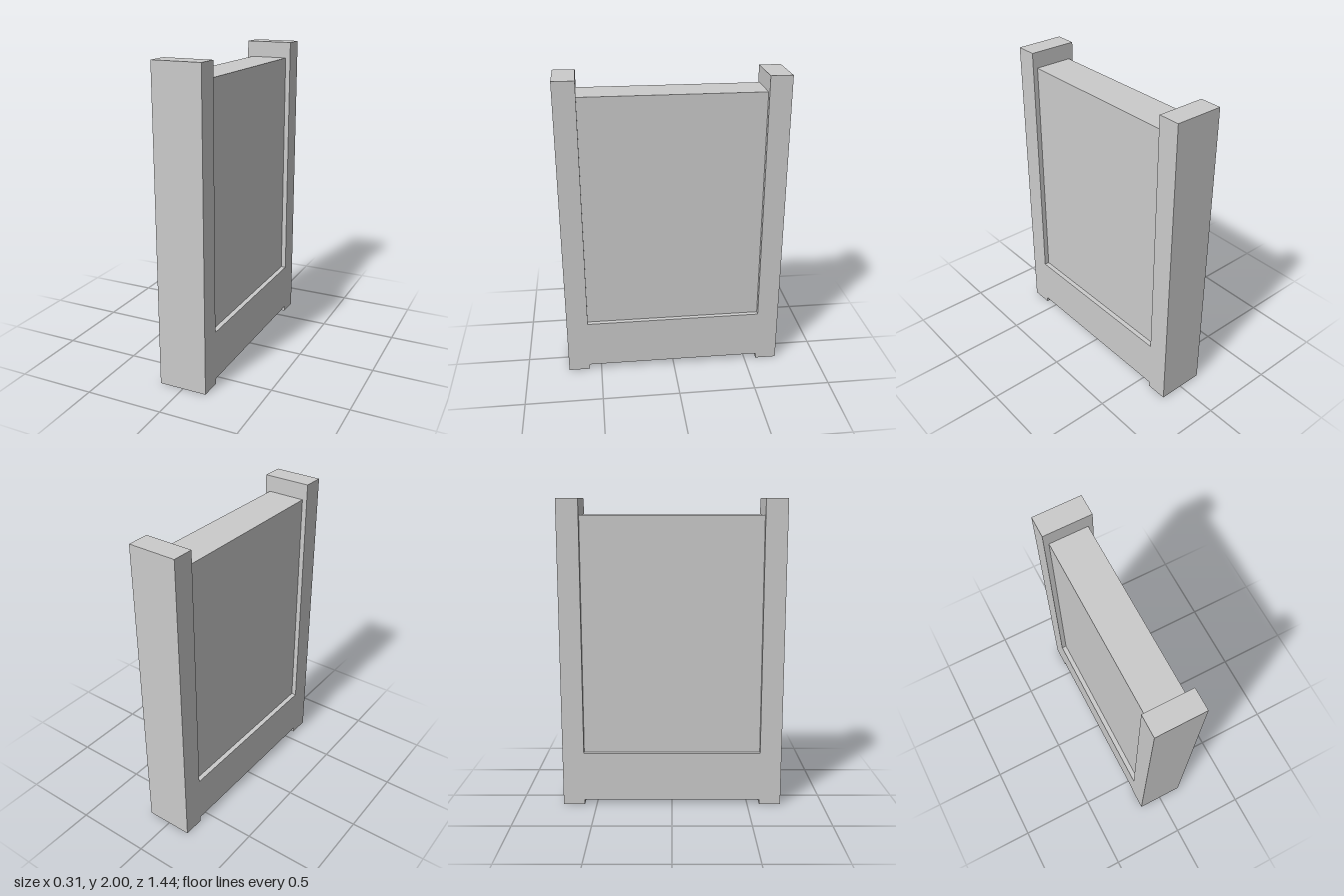
import * as THREE from 'three';

export function createModel() {
  const group = new THREE.Group();
  const material = new THREE.MeshStandardMaterial({ color: 0xcccccc, flatShading: true });

  const height = 2, outer = 0.72, inner = 0.58; // post height and its z extents
  const railBottom = 0.035, railTop = 0.355, panelTop = 1.895;
  const frameDepth = 0.314, panelDepth = 0.25;

  // Frame: two posts joined by a bottom rail, one flush outline
  const half = [
    [inner, railBottom], [inner, 0], [outer, 0],
    [outer, height], [inner, height], [inner, railTop],
  ];
  const mirrored = half.map(([z, y]) => [-z, y]).reverse();
  const outline = new THREE.Shape([...half, ...mirrored].map(([z, y]) => new THREE.Vector2(z, y)));
  const frameGeometry = new THREE.ExtrudeGeometry(outline, { depth: frameDepth, bevelEnabled: false });
  frameGeometry.translate(0, 0, -frameDepth / 2).rotateY(Math.PI / 2);
  const frame = new THREE.Mesh(frameGeometry, material);
  frame.name = 'frame';
  group.add(frame);

  // Recessed panel between the posts, resting on the rail
  const panel = new THREE.Mesh(
    new THREE.BoxGeometry(panelDepth, panelTop - railTop, inner * 2), material);
  panel.position.y = (panelTop + railTop) / 2;
  panel.name = 'panel';
  group.add(panel);

  return group;
}
